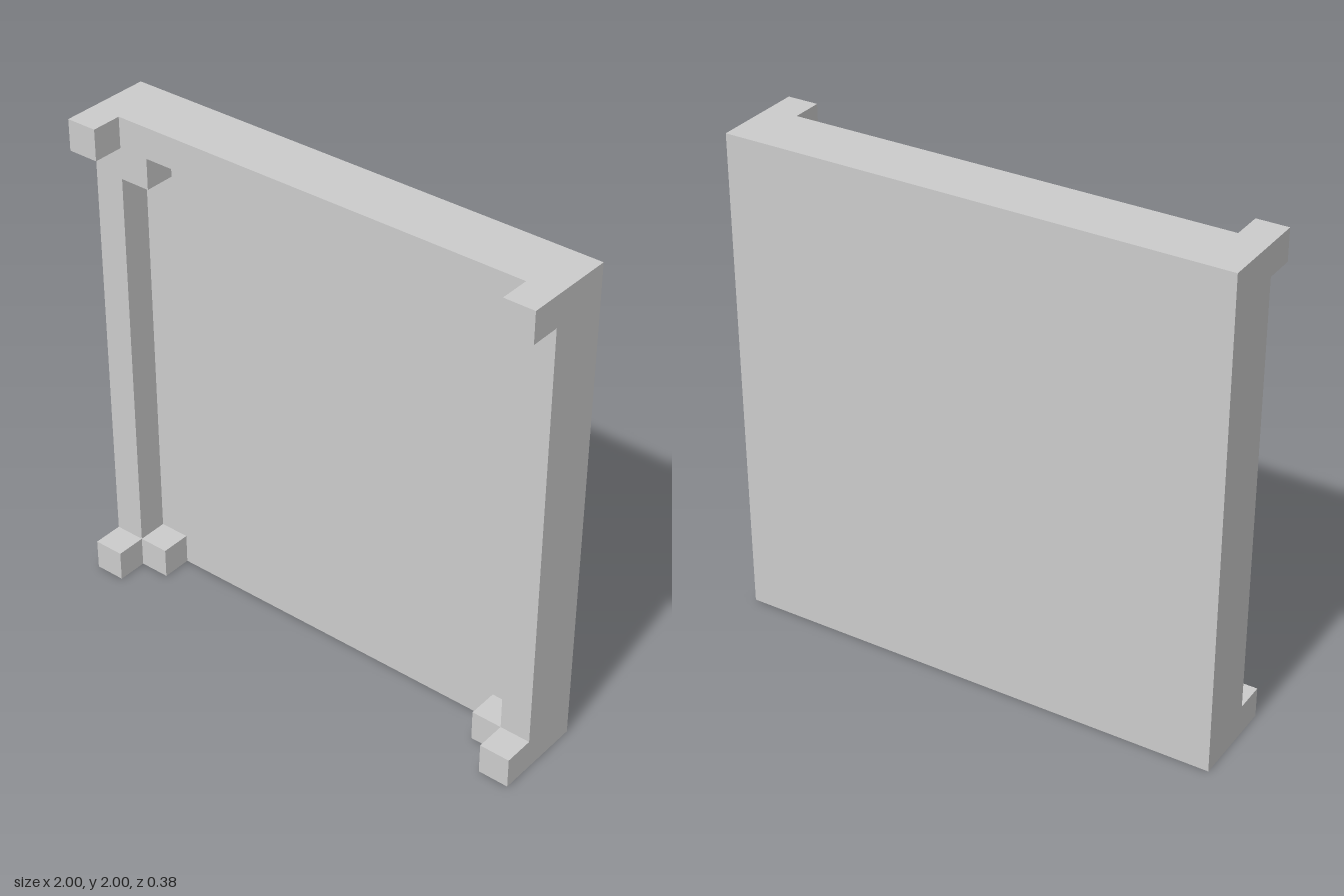
import * as THREE from 'three';

const U = 0.125; // one block; the panel is 16 x 16 x 3 blocks

export function createModel() {
  const group = new THREE.Group();
  const material = new THREE.MeshStandardMaterial({ color: 0xcccccc, flatShading: true });

  function add(name, geometry, x, y, z) {
    const mesh = new THREE.Mesh(geometry, material);
    mesh.name = name;
    mesh.position.set(x, y, z);
    group.add(mesh);
  }

  // Flat back panel
  add('backPanel', new THREE.BoxGeometry(16 * U, 16 * U, U), 0, 8 * U, -U);

  // Raised rim, open along the bottom, with a stepped block in each inner corner
  const half = [[8, 16], [8, 0], [6, 0], [6, 1], [7, 1], [7, 14], [6, 14], [6, 15]];
  const outline = [...half, ...half.map(([x, y]) => [-x, y]).reverse()];
  const shape = new THREE.Shape(outline.map(([x, y]) => new THREE.Vector2(x * U, y * U)));
  add('rim', new THREE.ExtrudeGeometry(shape, { depth: U, bevelEnabled: false }), 0, 0, -U / 2);

  // Cube standing forward at each outer corner
  const cube = new THREE.BoxGeometry(U, U, U);
  for (const [side, x] of [['left', 7.5], ['right', -7.5]]) {
    add(side + 'UpperCornerCube', cube, x * U, 15.5 * U, U);
    add(side + 'LowerCornerCube', cube, x * U, 0.5 * U, U);
  }

  return group;
}
